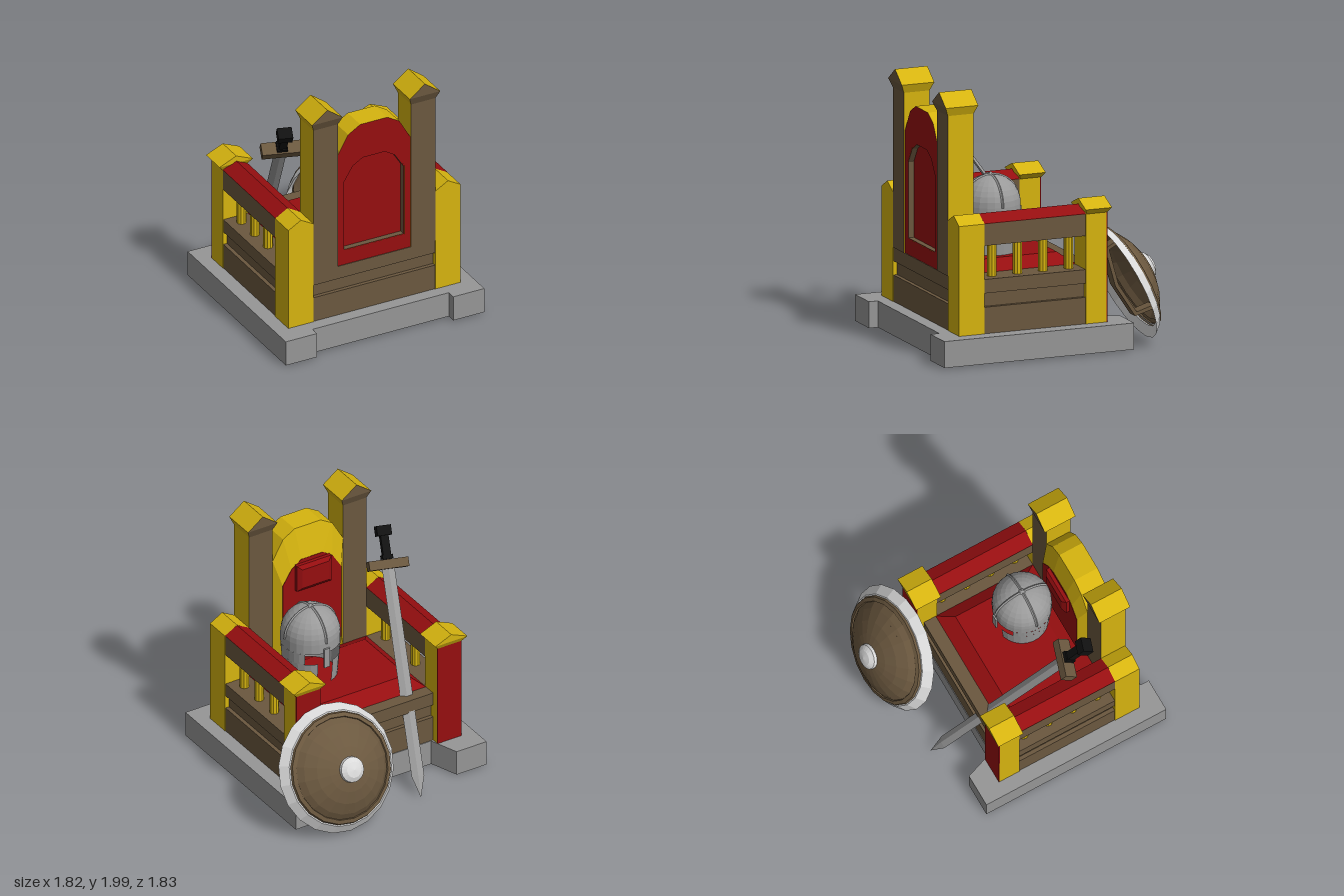
import * as THREE from 'three';
import { ConvexGeometry } from 'three/addons/geometries/ConvexGeometry.js';

const mat = (name, color, extra = {}) => Object.assign(new THREE.MeshStandardMaterial({ color, flatShading: true, ...extra }), { name });
const V = (x, y, z) => new THREE.Vector3(x, y, z);

export function createModel() {
  const wood = mat('wood', 0x6b583f, { side: THREE.DoubleSide });
  const gold = mat('gold', 0xd6b40f);
  const red = mat('red', 0x960e10);
  const stone = mat('stone', 0x969696);
  const steel = mat('steel', 0x9a9a9a, { side: THREE.DoubleSide });
  const white = mat('white', 0xdadada, { side: THREE.DoubleSide });
  const black = mat('black', 0x111111);

  const model = new THREE.Group();
  const throne = new THREE.Group();
  throne.name = 'throne';
  throne.position.x = -0.08;
  model.add(throne);

  const add = (parent, name, geo, material, x = 0, y = 0, z = 0) => {
    const m = new THREE.Mesh(geo, material);
    m.name = name;
    m.position.set(x, y, z);
    parent.add(m);
    return m;
  };
  // box given by its limits
  const box = (parent, name, material, x0, x1, y0, y1, z0, z1) =>
    add(parent, name, new THREE.BoxGeometry(x1 - x0, y1 - y0, z1 - z0), material, (x0 + x1) / 2, (y0 + y1) / 2, (z0 + z1) / 2);
  const shapeOf = (pts) => new THREE.Shape(pts.map((p) => new THREE.Vector2(p[0], p[1])));
  const extrude = (pts, z0, z1, hole) => {
    const s = shapeOf(pts);
    if (hole) s.holes.push(shapeOf(hole));
    return new THREE.ExtrudeGeometry(s, { depth: z1 - z0, bevelEnabled: false }).translate(0, 0, z0);
  };
  const rect = (x0, x1, z0, z1, y) => [V(x0, y, z0), V(x1, y, z0), V(x1, y, z1), V(x0, y, z1)];

  // stone plinth with notched front and back
  const half = [[0.83, -0.61], [0.83, 0.91], [0.57, 0.91], [0.57, 0.84]];
  const front = [[0.49, -0.385], [0.57, -0.61]];
  const neg = (pts) => pts.map(([x, z]) => [-x, z]).reverse();
  const outlineXZ = [...front, ...half, ...neg(half), ...neg(front)];
  const plinth = extrude(outlineXZ.map(([x, z]) => [x, -z]), 0.02, 0.22).rotateX(-Math.PI / 2);
  add(throne, 'plinth', plinth, stone);
  box(throne, 'undersidePanel', wood, -0.635, 0.635, 0.013, 0.021, -0.375, 0.8);

  // wooden body with a groove running around it
  for (const [y0, y1, inset] of [[0.22, 0.42, 0], [0.42, 0.525, 0.03], [0.525, 0.63, 0]]) {
    box(throne, 'seatBody', wood, -0.51, 0.51, y0, y1, -0.38 + inset, 0.74 - inset);
    box(throne, 'sidePanels', wood, -0.715 + inset, 0.715 - inset, y0, y1, -0.28, 0.54);
  }

  // seat cushion
  add(throne, 'seatCushion', new ConvexGeometry([
    ...rect(-0.51, 0.51, -0.28, 0.54, 0.63), ...rect(-0.41, 0.41, -0.17, 0.4, 0.71)]), red);

  // gabled post and flared gabled cap
  const gable = (w, y0, eave, peak, z0, z1) =>
    extrude([[-w, y0], [w, y0], [w, eave], [0, peak], [-w, eave]], z0, z1);
  const capGeometry = (w, d, y, W, D, eave, peak, zc) => {
    const g = new ConvexGeometry([
      ...rect(-w, w, zc - d, zc + d, y), ...rect(-W, W, zc - D, zc + D, eave),
      V(0, peak, zc - D), V(0, peak, zc + D)]);
    const n = g.attributes.normal;
    for (let i = 0; i < n.count; i += 3) g.addGroup(i, 3, Math.abs(n.getZ(i)) > 0.5 ? 0 : 1);
    return g;
  };

  for (const s of [-1, 1]) {
    // tall back posts
    add(throne, 'tallPost', gable(0.102, 0.63, 1.84, 1.9, 0.54, 0.745), [wood, gold], s * 0.408);
    add(throne, 'tallPostCap', capGeometry(0.102, 0.103, 1.84, 0.128, 0.13, 1.905, 2.0, 0.642), [wood, gold], s * 0.408);

    // arm: two posts, rail, padded top and balusters
    const arm = new THREE.Group();
    arm.name = s > 0 ? 'leftArm' : 'rightArm';
    arm.position.x = s * 0.615;
    throne.add(arm);
    add(arm, 'rearArmPost', gable(0.105, 0.22, 1.05, 1.11, 0.54, 0.745), gold);
    add(arm, 'frontArmPost', gable(0.105, 0.22, 1.05, 1.1, -0.435, -0.27), gold);
    box(arm, 'frontArmPostPanel', red, -0.105, 0.105, 0.22, 1.05, -0.442, -0.434);
    add(arm, 'frontArmPostCap', capGeometry(0.105, 0.083, 1.05, 0.14, 0.105, 1.09, 1.15, -0.36), [gold, gold]);
    box(arm, 'armRail', wood, -0.102, 0.102, 0.885, 1.05, -0.27, 0.54);
    add(arm, 'armPad', gable(0.104, 1.05, 1.052, 1.108, -0.27, 0.54), red);
    for (let i = 0; i < 4; i++)
      add(arm, 'baluster', new THREE.CylinderGeometry(0.036, 0.036, 0.255, 10), gold, 0, 0.757, 0.44 - i * 0.205);
  }

  // arched backrest: recessed back, bevelled front
  const arch = (w, y0, y1, y2, y3) => {
    const r = [[w, y0], [w, y1], [w * 0.7, y2], [w * 0.37, y3]];
    return [...r, ...neg(r)];
  };
  const outer = arch(0.306, 0.63, 1.56, 1.72, 1.78);
  const recess = arch(0.255, 0.75, 1.33, 1.45, 1.5);
  const inner = arch(0.255, 0.75, 1.36, 1.48, 1.54);
  add(throne, 'backrest', extrude(outer, 0.54, 0.69), [red, gold]);
  add(throne, 'backrestRim', extrude(outer, 0.69, 0.735, recess), [red, gold]);
  add(throne, 'recessLining', extrude(recess, 0.69, 0.734, arch(0.249, 0.756, 1.327, 1.445, 1.494)), [red, wood]);
  const bevel = [];
  outer.forEach((a, i) => {
    const j = (i + 1) % outer.length;
    const p = [[...inner[i], 0.48], [...inner[j], 0.48], [...outer[j], 0.54], [...a, 0.54]];
    bevel.push(...p[0], ...p[1], ...p[2], ...p[0], ...p[2], ...p[3]);
  });
  const bevelGeo = new THREE.BufferGeometry();
  bevelGeo.setAttribute('position', new THREE.Float32BufferAttribute(bevel, 3));
  bevelGeo.computeVertexNormals();
  add(throne, 'backrestBevel', bevelGeo, gold);
  add(throne, 'backrestPanel', extrude(inner, 0.477, 0.484), red);

  // headrest
  const slab = (w, h, z) => [V(-w, -h, z), V(w, -h, z), V(w, h, z), V(-w, h, z)];
  add(throne, 'headrest', new ConvexGeometry([
    ...slab(0.15, 0.11, 0.48), ...slab(0.15, 0.11, 0.45), ...slab(0.115, 0.08, 0.428)]), red, 0, 1.4, 0);

  // helmet on the seat, open toward the seat front
  const helmet = new THREE.Group();
  helmet.name = 'helmet';
  helmet.position.set(0.08, 0, 0.25);
  model.add(helmet);
  const R = 0.222;
  const dome = add(helmet, 'helmetDome', new THREE.SphereGeometry(R, 24, 8, 0, Math.PI * 2, 0, Math.PI / 2), steel, 0, 1.07, 0);
  dome.scale.y = 0.95;
  const wall = (name, r0, r1, y0, y1, gap) => add(helmet, name,
    new THREE.CylinderGeometry(r1, r0, y1 - y0, 24, 1, true, Math.PI + gap, 2 * (Math.PI - gap)), steel, 0, (y0 + y1) / 2, 0);
  wall('helmetBrow', 0.222, R, 0.99, 1.07, 0);
  wall('helmetEyeBand', 0.216, 0.222, 0.9, 0.99, 0.75);
  wall('helmetCheeks', 0.2, 0.216, 0.71, 0.9, 0.3);
  box(helmet, 'noseGuard', steel, -0.025, 0.025, 0.87, 1.03, -0.234, -0.218);
  for (const a of [0, Math.PI / 2]) {
    const ridge = add(helmet, 'helmetRidge', new THREE.TorusGeometry(R, 0.01, 4, 20, Math.PI), steel, 0, 1.07, 0);
    ridge.rotation.y = a;
    ridge.scale.y = 0.95;
  }
  add(helmet, 'helmetKnob', new THREE.ConeGeometry(0.03, 0.03, 8), steel, 0, 1.289, 0);

  // sword leaning from the arm to the ground
  const sword = new THREE.Group();
  sword.name = 'sword';
  const tip = V(-0.27, 0.01, -0.72);
  const along = V(-0.585, 1.42, 0.235).sub(tip).normalize();
  const across = V(0.951, 0, 0.309);
  const normal = across.clone().cross(along).normalize();
  across.crossVectors(along, normal);
  sword.quaternion.setFromRotationMatrix(new THREE.Matrix4().makeBasis(across, along, normal));
  sword.position.copy(tip);
  model.add(sword);
  const bladePart = (name, top, bottom, y0, y1) =>
    add(sword, name, new THREE.CylinderGeometry(top, bottom, y1 - y0, 4), steel, 0, (y0 + y1) / 2, 0).scale.set(1, 1, 0.3);
  bladePart('blade', 0.048, 0.048, 0.16, 1.72);
  bladePart('bladeTip', 0.048, 0, 0, 0.16);
  add(sword, 'guard', new THREE.BoxGeometry(0.3, 0.07, 0.1), wood, 0, 1.735, 0);
  add(sword, 'grip', new THREE.BoxGeometry(0.06, 0.2, 0.06), black, 0, 1.86, 0);
  add(sword, 'gripCollar', new THREE.BoxGeometry(0.08, 0.03, 0.08), black, 0, 1.79, 0);
  add(sword, 'pommel', new THREE.BoxGeometry(0.11, 0.075, 0.09), black, 0, 1.985, 0);

  // round shield leaning on the front of the throne
  const shield = new THREE.Group();
  shield.name = 'shield';
  shield.position.set(0.42, 0.4675, -0.6425);
  shield.quaternion.setFromUnitVectors(V(0, 1, 0), V(0, 0.42, -0.907).normalize());
  model.add(shield);
  const lathe = (name, pts, material) =>
    add(shield, name, new THREE.LatheGeometry(pts.map((p) => new THREE.Vector2(p[0], p[1])), 20), material);
  lathe('shieldRim', [[0.41, 0.045], [0.485, 0], [0.432, 0.066], [0.41, 0.07]], white);
  lathe('shieldDome', [[0.425, 0.06], [0.415, 0.085], [0.385, 0.095], [0.38, 0.085], [0.34, 0.125],
    [0.26, 0.175], [0.17, 0.21], [0.09, 0.23], [0, 0.235]], wood);
  lathe('shieldBoss', [[0.098, 0.225], [0.095, 0.252], [0.06, 0.275], [0, 0.285]], white);
  const strap = extrude([[0.31, 0.14], [0.3, -0.02], [0, -0.068], [-0.285, -0.025], [-0.31, 0.14],
    [-0.28, 0.14], [-0.262, 0.0], [0, -0.04], [0.275, 0.005], [0.285, 0.14]], -0.05, 0.05).rotateY(-Math.PI / 2);
  add(shield, 'shieldStrap', strap, wood);

  return model;
}
